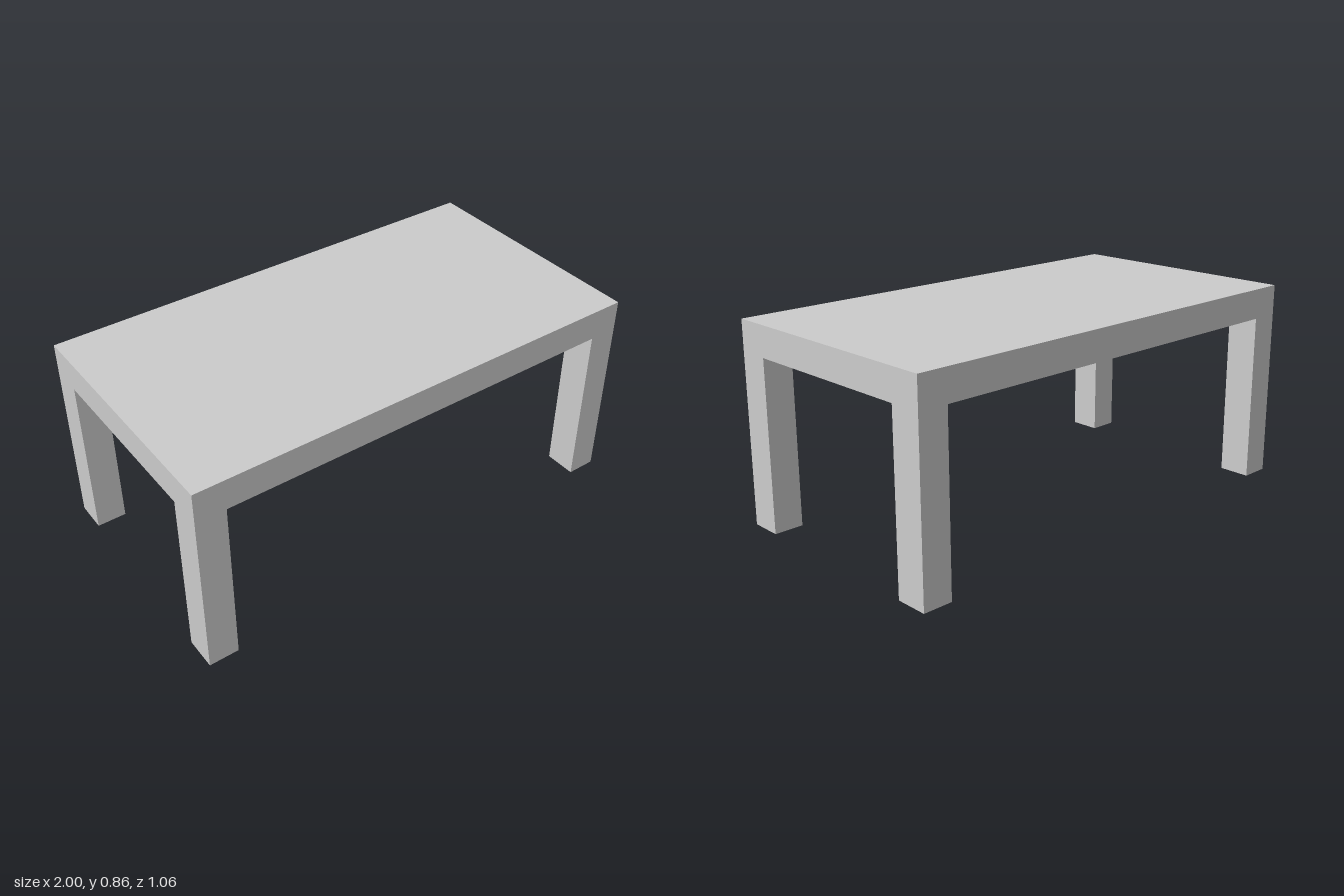
import * as THREE from 'three';

const LENGTH = 2, DEPTH = 1.064, HEIGHT = 0.855, TOP = 0.13;
const LEG_X = 0.126, LEG_Z = 0.138;

export function createModel() {
  const table = new THREE.Group();
  table.name = 'table';
  const material = new THREE.MeshStandardMaterial({ color: 0xcccccc, flatShading: true });

  const addBox = (name, w, h, d, x, y, z) => {
    const mesh = new THREE.Mesh(new THREE.BoxGeometry(w, h, d), material);
    mesh.name = name;
    mesh.position.set(x, y, z);
    table.add(mesh);
  };

  // Thick slab top
  addBox('tableTop', LENGTH, TOP, DEPTH, 0, HEIGHT - TOP / 2, 0);

  // Four legs flush with the corners
  const legHeight = HEIGHT - TOP;
  for (const [end, sz] of [['front', 1], ['back', -1]]) {
    for (const [side, sx] of [['Left', 1], ['Right', -1]]) {
      addBox(`${end}${side}Leg`, LEG_X, legHeight, LEG_Z,
        sx * (LENGTH - LEG_X) / 2, legHeight / 2, sz * (DEPTH - LEG_Z) / 2);
    }
  }
  return table;
}
